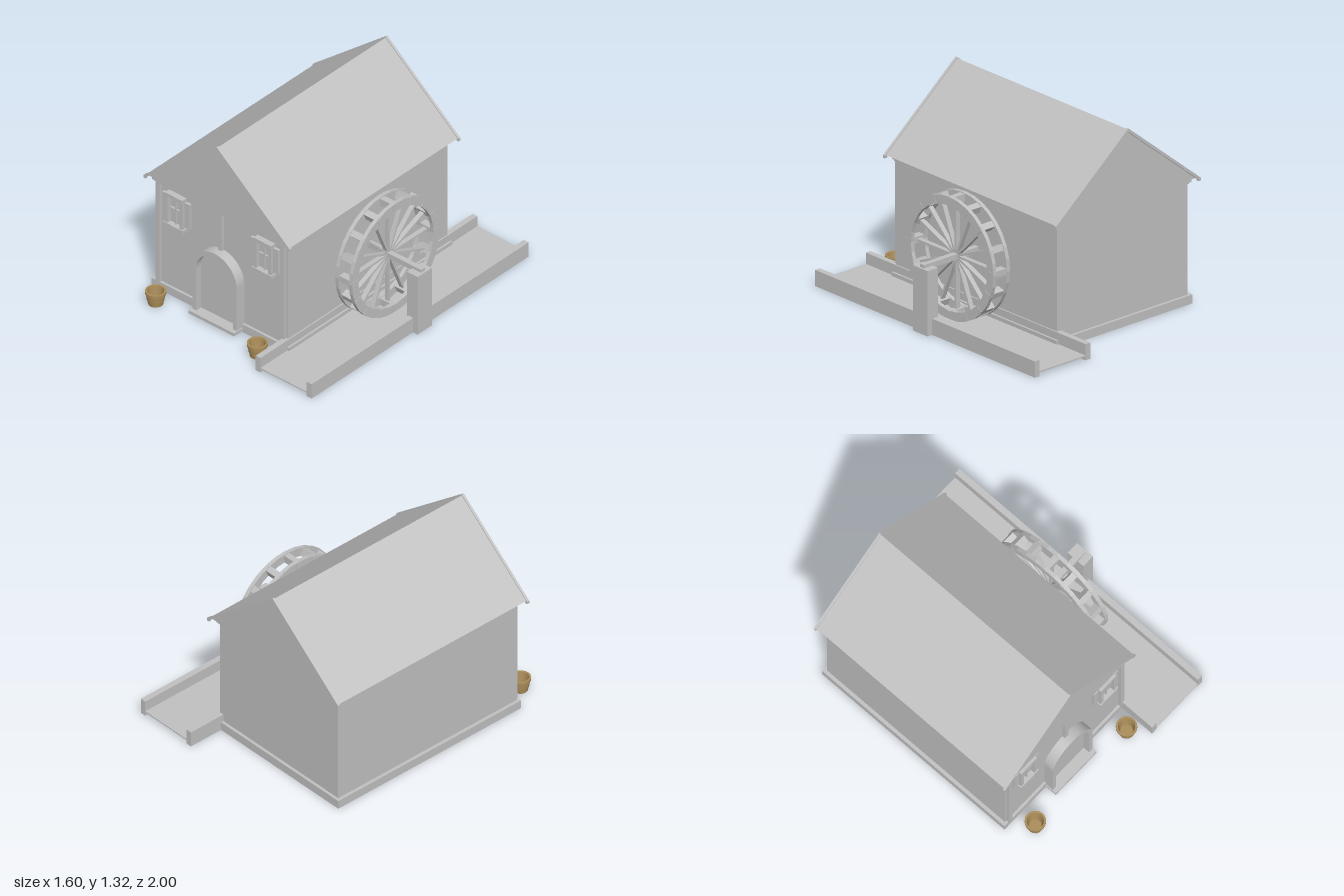
import * as THREE from 'three';

export function createModel() {
  const root = new THREE.Group();
  root.name = 'watermill';
  const stone = new THREE.MeshStandardMaterial({ color: 0xc0c0c0 });
  stone.name = 'pale grey';
  const basket = new THREE.MeshStandardMaterial({ color: 0xa98b58, side: THREE.DoubleSide });
  basket.name = 'wicker brown';

  const CX = -0.205; // centre line of the house

  const add = (parent, name, geo, mat = stone) => {
    const mesh = new THREE.Mesh(geo, mat);
    mesh.name = name;
    parent.add(mesh);
    return mesh;
  };
  const group = (name, x = 0, y = 0, z = 0) => {
    const g = new THREE.Group();
    g.name = name;
    g.position.set(x, y, z);
    root.add(g);
    return g;
  };
  // Box given by its minimum and maximum on each axis
  const box = (parent, name, x0, x1, y0, y1, z0, z1) => {
    const mesh = add(parent, name, new THREE.BoxGeometry(x1 - x0, y1 - y0, z1 - z0));
    mesh.position.set((x0 + x1) / 2, (y0 + y1) / 2, (z0 + z1) / 2);
    return mesh;
  };
  const extrude = (shape, depth, z0) => {
    const geo = new THREE.ExtrudeGeometry(shape, { depth, bevelEnabled: false, curveSegments: 16 });
    return geo.translate(0, 0, z0);
  };
  const polygon = (pts) => new THREE.Shape(pts.map(([x, y]) => new THREE.Vector2(x, y)));

  // House body
  const house = group('house', CX);
  box(house, 'foundation', -0.56, 0.56, 0, 0.058, -0.752, 0.752);
  box(house, 'walls', -0.537, 0.537, 0.05, 0.81, -0.732, 0.735);
  box(house, 'lowerWallBand', -0.543, 0.543, 0.788, 0.802, -0.738, 0.745);
  box(house, 'upperWallBand', -0.552, 0.552, 0.8, 0.832, -0.748, 0.755);
  for (const s of [-1, 1]) {
    box(house, 'cornerPost', s * 0.508 - 0.016, s * 0.508 + 0.016, 0.05, 0.83, 0.73, 0.757);
  }
  box(house, 'centrePost', -0.015, 0.015, 0.515, 0.83, 0.73, 0.757);

  // Roof with a trim along each gable
  const roof = polygon([[-0.587, 0.829], [0.587, 0.829], [0, 1.308]]);
  add(house, 'roof', extrude(roof, 1.54, -0.77));
  const trim = polygon([
    [0, 1.316], [-0.596, 0.829], [-0.596, 0.81], [-0.577, 0.81], [-0.577, 0.822],
    [0, 1.291], [0.577, 0.822], [0.577, 0.81], [0.596, 0.81], [0.596, 0.829],
  ]);
  for (const z of [-0.787, 0.77]) add(house, 'gableTrim', extrude(trim, 0.017, z));

  // Arched doorway
  const archShape = (r, y0) => {
    const s = new THREE.Shape();
    s.moveTo(-r, y0);
    s.lineTo(r, y0);
    s.lineTo(r, 0.348);
    s.absarc(0, 0.348, r, 0, Math.PI, false);
    s.lineTo(-r, y0);
    return s;
  };
  const surround = new THREE.Shape();
  surround.moveTo(0.15, 0.03);
  surround.lineTo(0.18, 0.03);
  surround.lineTo(0.18, 0.348);
  surround.absarc(0, 0.348, 0.18, 0, Math.PI, false);
  surround.lineTo(-0.18, 0.03);
  surround.lineTo(-0.15, 0.03);
  surround.lineTo(-0.15, 0.348);
  surround.absarc(0, 0.348, 0.15, Math.PI, 0, true);
  surround.lineTo(0.15, 0.03);
  add(house, 'doorSurround', extrude(surround, 0.075, 0.73));
  add(house, 'door', extrude(archShape(0.15, 0.03), 0.03, 0.73));
  box(house, 'doorStep', -0.186, 0.186, 0.012, 0.034, 0.74, 0.835);

  // Shuttered windows
  for (const s of [-1, 1]) {
    const win = group('window', CX + s * 0.361, 0, 0);
    for (const t of [-1, 1]) {
      box(win, 'shutter', t * 0.092 - 0.02, t * 0.092 + 0.02, 0.565, 0.745, 0.73, 0.755);
      box(win, 'frameSide', t * 0.06 - 0.012, t * 0.06 + 0.012, 0.548, 0.745, 0.73, 0.775);
    }
    box(win, 'frameTop', -0.072, 0.072, 0.742, 0.77, 0.73, 0.775);
    box(win, 'sill', -0.081, 0.081, 0.53, 0.552, 0.73, 0.782);
    box(win, 'pane', -0.05, 0.05, 0.55, 0.745, 0.73, 0.745);
    box(win, 'uprightBar', -0.005, 0.005, 0.55, 0.745, 0.74, 0.757);
    box(win, 'crossBar', -0.05, 0.05, 0.655, 0.665, 0.74, 0.757);
  }

  // Water channel
  const channel = group('waterChannel');
  box(channel, 'channelFloor', 0.33, 0.73, 0.025, 0.033, -1, 1);
  box(channel, 'innerBoard', 0.302, 0.341, 0, 0.107, -1, 1);
  box(channel, 'outerBoard', 0.718, 0.758, 0, 0.107, -1, 1);
  box(channel, 'axlePillar', 0.71, 0.796, 0, 0.43, -0.065, 0.065);

  // Water wheel turning about x
  const wheel = group('waterWheel', 0.492, 0.433, 0);
  const rim = new THREE.Shape();
  rim.absarc(0, 0, 0.404, 0, Math.PI * 2, false);
  const hole = new THREE.Path();
  hole.absarc(0, 0, 0.346, 0, Math.PI * 2, true);
  rim.holes.push(hole);
  for (const x of [-0.069, 0.043]) {
    const geo = extrude(rim, 0.026, x);
    geo.rotateY(Math.PI / 2);
    add(wheel, 'rim', geo);
  }
  for (let i = 0; i < 16; i++) {
    const arm = new THREE.Group();
    arm.name = 'arm';
    arm.rotation.x = (i / 16) * Math.PI * 2;
    wheel.add(arm);
    box(arm, 'spoke', -0.016, 0.016, 0.01, 0.36, -0.007, 0.007);
    box(arm, 'paddle', -0.071, 0.071, 0.348, 0.398, -0.021, 0.021);
  }
  box(wheel, 'axle', -0.185, 0.289, -0.018, 0.018, -0.018, 0.018);

  // Baskets beside the house front
  const profile = [
    [0, 0], [0.047, 0], [0.052, 0.03], [0.055, 0.032], [0.058, 0.06], [0.06, 0.062],
    [0.061, 0.076], [0.066, 0.078], [0.066, 0.095], [0.053, 0.095], [0.039, 0.018], [0, 0.018],
  ].map(([r, y]) => new THREE.Vector2(r, y));
  for (const x of [-0.622, 0.207]) {
    const geo = new THREE.LatheGeometry(profile, 18).toNonIndexed();
    geo.computeVertexNormals();
    add(root, 'basket', geo, basket).position.set(x, 0, 0.876);
  }

  return root;
}
